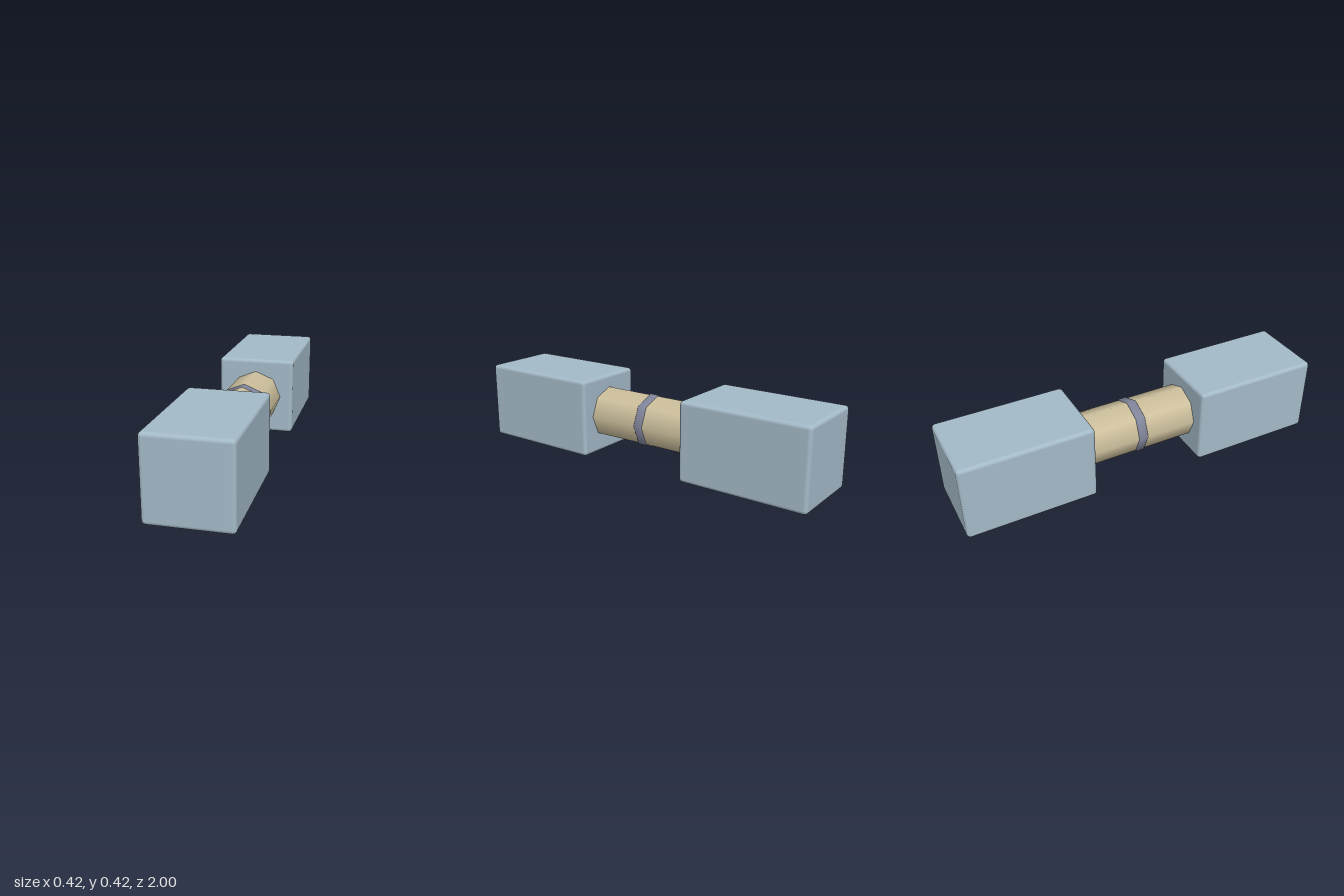
import * as THREE from 'three';
import { RoundedBoxGeometry } from 'three/addons/geometries/RoundedBoxGeometry.js';

const SIZE = 0.422, DEPTH = 0.695, SIDES = 8;

function makeMaterial(name, color) {
  const material = new THREE.MeshStandardMaterial({ color });
  material.name = name;
  return material;
}

export function createModel() {
  const group = new THREE.Group();
  group.name = 'hammer';
  const blue = makeMaterial('pale blue', 0xa4bac8);
  const tan = makeMaterial('tan', 0xcdc09d);
  const grey = makeMaterial('blue grey', 0x82869c);

  function add(name, geometry, material, z = 0) {
    const mesh = new THREE.Mesh(geometry, material);
    mesh.name = name;
    mesh.position.set(0, SIZE / 2, z);
    group.add(mesh);
  }

  // Softly rounded end blocks
  const block = new RoundedBoxGeometry(SIZE, SIZE, DEPTH, 2, 0.02);
  add('frontBlock', block, blue, 1 - DEPTH / 2);
  add('backBlock', block, blue, DEPTH / 2 - 1);

  // Eight-sided, smooth-shaded rod joining the blocks
  const rod = new THREE.CylinderGeometry(0.142, 0.142, 0.62, SIDES);
  add('rod', rod.rotateX(Math.PI / 2), tan);

  // Thin collar with bevelled rims around the middle
  const profile = [
    [0.138, -0.026], [0.142, -0.026], [0.148, -0.019],
    [0.148, 0.019], [0.142, 0.026], [0.138, 0.026],
  ].map(([r, y]) => new THREE.Vector2(r, y));
  const collar = new THREE.LatheGeometry(profile, SIDES);
  add('collar', collar.rotateX(Math.PI / 2), grey);

  return group;
}
